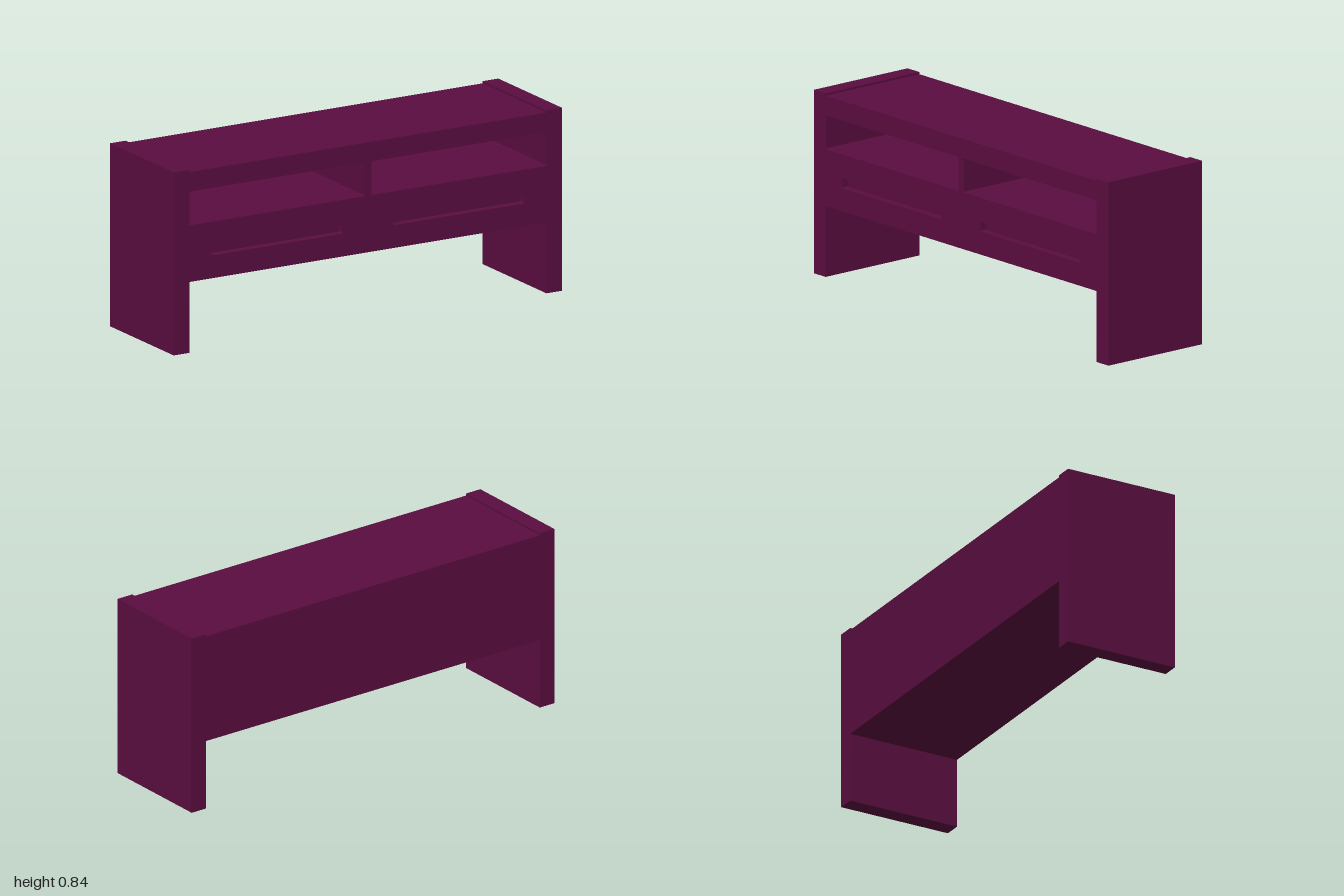
import * as THREE from 'three';

const HALF_DEPTH = 0.272, INNER_X = 0.92, BODY_LOW = 0.325, BODY_TOP = 0.83;

// Traces a rectangle with slightly rounded corners
function roundedRect(path, x0, y0, x1, y1, r) {
  path.moveTo(x0 + r, y0);
  path.lineTo(x1 - r, y0);
  path.quadraticCurveTo(x1, y0, x1, y0 + r);
  path.lineTo(x1, y1 - r);
  path.quadraticCurveTo(x1, y1, x1 - r, y1);
  path.lineTo(x0 + r, y1);
  path.quadraticCurveTo(x0, y1, x0, y1 - r);
  path.lineTo(x0, y0 + r);
  path.quadraticCurveTo(x0, y0, x0 + r, y0);
  return path;
}

export function createModel() {
  const group = new THREE.Group();
  const plum = new THREE.MeshStandardMaterial({ color: 0x5a0d40 });
  plum.name = 'plumLacquer';

  const add = (name, geometry, x, y, z) => {
    const mesh = new THREE.Mesh(geometry, plum);
    mesh.name = name;
    mesh.position.set(x, y, z);
    group.add(mesh);
  };

  // Slab of the cabinet between two depths, pierced by the given openings
  const addLayer = (name, z0, z1, openings) => {
    const shape = new THREE.Shape([
      new THREE.Vector2(-INNER_X, BODY_LOW), new THREE.Vector2(INNER_X, BODY_LOW),
      new THREE.Vector2(INNER_X, BODY_TOP), new THREE.Vector2(-INNER_X, BODY_TOP),
    ]);
    for (const [x0, y0, x1, y1] of openings) {
      shape.holes.push(roundedRect(new THREE.Path(), x0, y0, x1, y1, 0.007));
      shape.holes.push(roundedRect(new THREE.Path(), -x1, y0, -x0, y1, 0.007));
    }
    const geometry = new THREE.ExtrudeGeometry(shape, {
      depth: z1 - z0, bevelEnabled: false, curveSegments: 4,
    });
    add(name, geometry, 0, 0, z0);
  };

  // Openings on the left half, mirrored to the right
  const shelf = [0.018, 0.585, 0.918, 0.74];
  const gripSlot = [0.13, 0.43, 0.805, 0.475];
  const backZ = -HALF_DEPTH + 0.03, slotZ = HALF_DEPTH - 0.035;

  addLayer('drawerFront', slotZ, HALF_DEPTH, [shelf, gripSlot]);
  addLayer('shelfBody', backZ, slotZ, [shelf]);
  addLayer('backPanel', -HALF_DEPTH, backZ, []);

  // Side panels reach the floor and stand a little above the top
  for (const [side, s] of [['left', 1], ['right', -1]]) {
    add(side + 'SidePanel', new THREE.BoxGeometry(0.08, 0.84, HALF_DEPTH * 2), s * 0.96, 0.42, 0);
  }
  return group;
}
